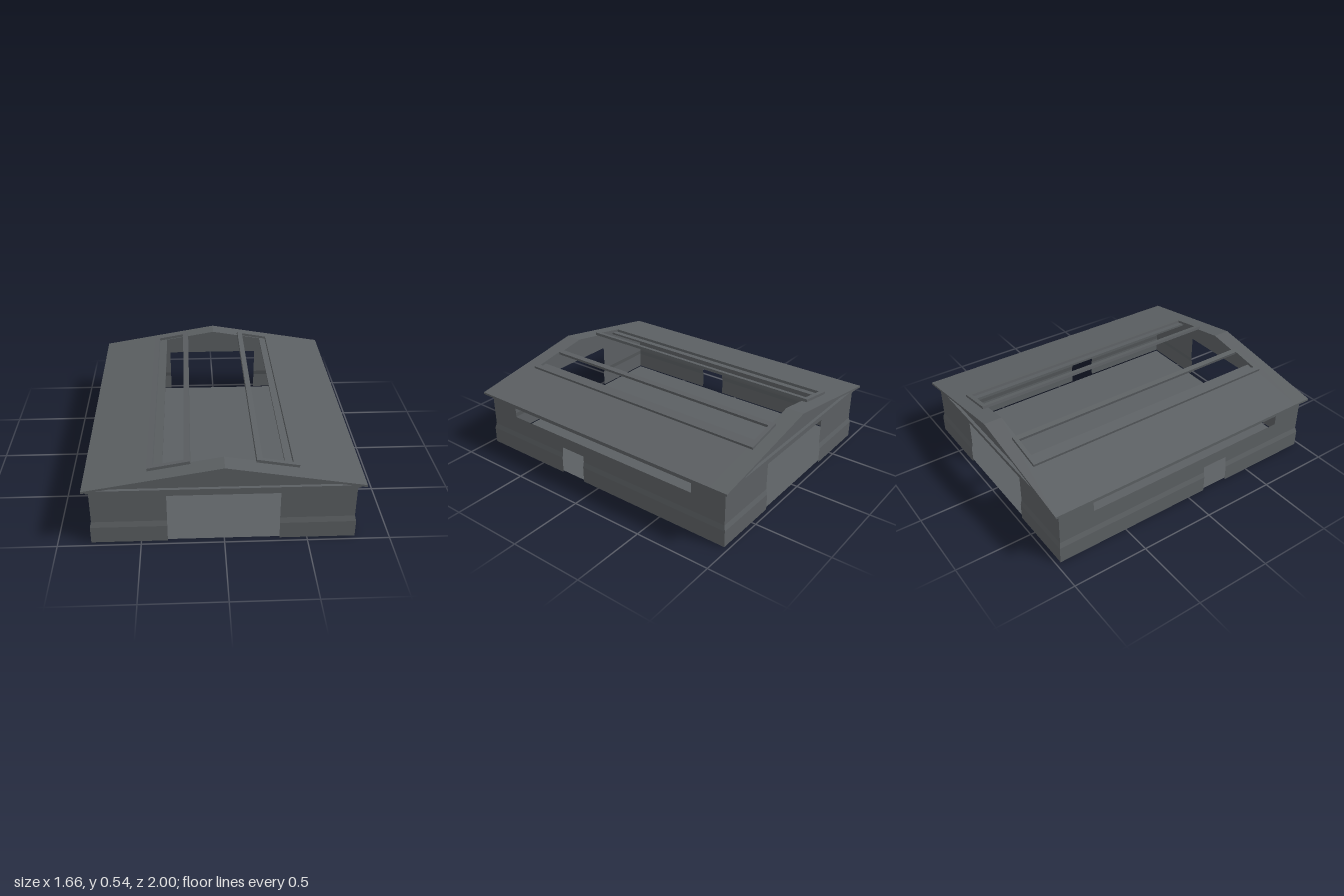
import * as THREE from 'three';

const SLOPE = 0.17, RIDGE = 0.535, CX = -0.004;

export function createModel() {
  const model = new THREE.Group();
  const grey = new THREE.MeshStandardMaterial({ color: 0x5b5f62, side: THREE.DoubleSide });
  grey.name = 'slate grey';

  const add = (name, geometry, parent = model) => {
    const mesh = new THREE.Mesh(geometry, grey);
    mesh.name = name;
    parent.add(mesh);
    return mesh;
  };
  const polygon = (points) => new THREE.Shape(points.map(([x, y]) => new THREE.Vector2(x, y)));
  const extrude = (shape, depth) => new THREE.ExtrudeGeometry(shape, { depth, bevelEnabled: false });
  const rect = (x0, x1, y0, y1) => [[x0, y0], [x1, y0], [x1, y1], [x0, y1]];
  // Flat rectangular ring, thickness upwards from y = 0
  const ring = (ox, oz, ix, iz, height) => {
    const shape = polygon(rect(-ox, ox, -oz, oz));
    shape.holes.push(polygon(rect(-ix, ix, -iz, iz)));
    return extrude(shape, height).rotateX(-Math.PI / 2);
  };

  // Thin wall with a flared plinth; half = half length at the base, out = distance from the centre
  const wall = (half, out, openings) => {
    const us = [...new Set([-half, half, ...openings.flatMap((o) => [o[0], o[1]])])].sort((a, b) => a - b);
    const ys = [...new Set([0, 0.11, 0.145, 0.36, ...openings.flatMap((o) => [o[2], o[3]])])].sort((a, b) => a - b);
    const inset = (y) => 0.009 * THREE.MathUtils.clamp((y - 0.11) / 0.035, 0, 1);
    const point = (u, y) => {
      const along = Math.abs(u) === half ? Math.sign(u) * (half - inset(y)) : u;
      return [along, y, out - inset(y)];
    };
    const positions = [];
    for (let i = 0; i < us.length - 1; i++) {
      for (let j = 0; j < ys.length - 1; j++) {
        const u = (us[i] + us[i + 1]) / 2, y = (ys[j] + ys[j + 1]) / 2;
        if (openings.some((o) => u > o[0] && u < o[1] && y > o[2] && y < o[3])) continue;
        const a = point(us[i], ys[j]), b = point(us[i + 1], ys[j]);
        const c = point(us[i + 1], ys[j + 1]), d = point(us[i], ys[j + 1]);
        positions.push(...a, ...b, ...c, ...a, ...c, ...d);
      }
    }
    const geometry = new THREE.BufferGeometry();
    geometry.setAttribute('position', new THREE.Float32BufferAttribute(positions, 3));
    geometry.computeVertexNormals();
    return geometry;
  };

  // Floor
  add('floor', new THREE.PlaneGeometry(1.565, 1.92).rotateX(-Math.PI / 2)).position.set(CX, 0.001, 0);

  // End walls with large gateways, long walls with a door and a strip window
  const walls = new THREE.Group();
  walls.name = 'walls';
  walls.position.x = CX;
  model.add(walls);
  const gate = [[-0.337, 0.337, 0, 0.325]];
  add('frontWall', wall(0.796, 0.971, gate), walls);
  add('backWall', wall(0.796, 0.971, gate), walls).rotation.y = Math.PI;
  const sideOpenings = (s) => [[0.125, 0.31, 0, 0.187], [-0.725, 0.742, 0.267, 0.333]]
    .map(([z0, z1, y0, y1]) => (s > 0 ? [-z1, -z0, y0, y1] : [z0, z1, y0, y1]));
  for (const s of [1, -1]) {
    const side = add(s > 0 ? 'leftWall' : 'rightWall', wall(0.971, 0.796, sideOpenings(s)), walls);
    side.rotation.y = s * Math.PI / 2;
  }

  // Stepped cornice on top of the walls
  add('corniceLower', ring(0.794, 0.968, 0.775, 0.95, 0.012)).position.set(CX, 0.352, 0);
  add('corniceUpper', ring(0.802, 0.976, 0.775, 0.95, 0.016)).position.set(CX, 0.361, 0);

  // Gable triangles, a little shallower than the roof
  for (const s of [1, -1]) {
    const gable = add(s > 0 ? 'frontGable' : 'backGable',
      extrude(polygon([[-0.78, 0.375], [0.78, 0.375], [0, 0.518]]), 0.012));
    gable.position.set(CX, 0, s * 0.95 - 0.006);
  }

  // Roof: a full strip at each end and a slope on each side of the central opening
  const top = (x) => RIDGE - SLOPE * Math.abs(x);
  const under = (x) => top(x) - 0.014;
  const EAVE = 0.828, OPEN_X = 0.36, OPEN_Z = 0.88;
  const strip = polygon([[-EAVE, under(EAVE)], [0, under(0)], [EAVE, under(EAVE)],
    [EAVE, top(EAVE)], [0, top(0)], [-EAVE, top(EAVE)]]);
  add('frontRoof', extrude(strip, 1 - OPEN_Z)).position.z = OPEN_Z;
  add('backRoof', extrude(strip, 1 - OPEN_Z)).position.z = -1;
  for (const s of [1, -1]) {
    const slope = polygon([[s * OPEN_X, under(OPEN_X)], [s * EAVE, under(EAVE)],
      [s * EAVE, top(EAVE)], [s * OPEN_X, top(OPEN_X)]]);
    add(s > 0 ? 'leftRoof' : 'rightRoof', extrude(slope, 2 * OPEN_Z)).position.z = -OPEN_Z;
  }

  // Skylight frames lying along the slopes
  for (const s of [1, -1]) {
    const frame = add(s > 0 ? 'leftSkylightFrame' : 'rightSkylightFrame',
      ring(0.129, 0.908, 0.093, 0.88, 0.019));
    frame.position.set(s * 0.318 + CX, 0.48, -0.008);
    frame.rotation.z = -s * Math.atan(0.18);
  }
  return model;
}
